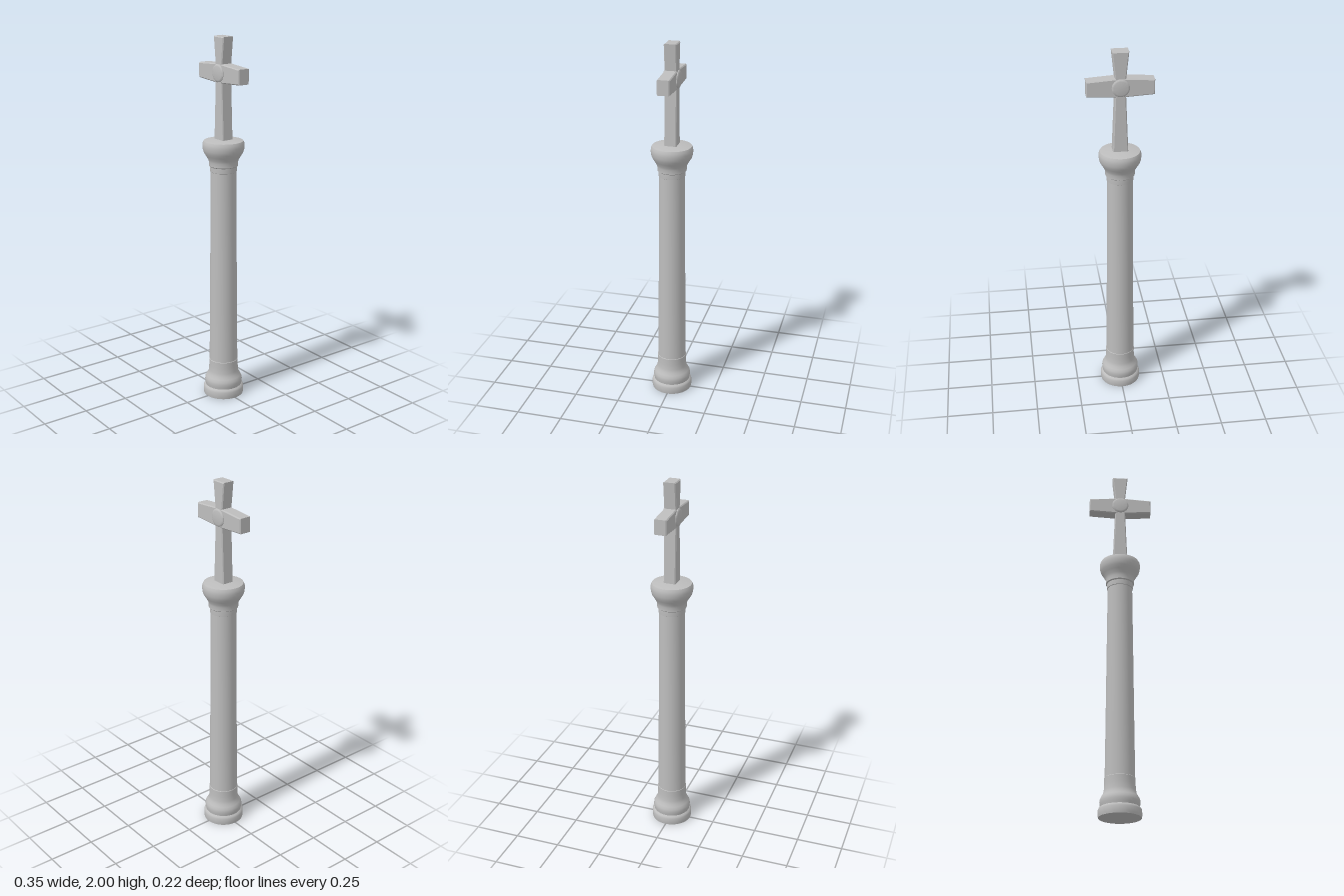
import * as THREE from 'three';
import { toCreasedNormals } from 'three/addons/utils/BufferGeometryUtils.js';

const stone = new THREE.MeshStandardMaterial({ color: 0xbdbdbd });
stone.name = 'grey stone';

function addMesh(parent, name, geometry) {
  const mesh = new THREE.Mesh(geometry, stone);
  mesh.name = name;
  parent.add(mesh);
  return mesh;
}

// Turned part from [radius, height] pairs, keeping sharp edges sharp
function turned(profile) {
  const points = profile.map(([r, y]) => new THREE.Vector2(r, y));
  return toCreasedNormals(new THREE.LatheGeometry(points, 40), 0.6);
}

// Chamfered slab of half depth d, centred on z = 0
function slab(outline, d, bevel = 0.005) {
  const shape = new THREE.Shape(outline.map(([x, y]) => new THREE.Vector2(x, y)));
  const geometry = new THREE.ExtrudeGeometry(shape, {
    depth: 2 * (d - bevel), bevelEnabled: true, bevelThickness: bevel,
    bevelSize: bevel, bevelOffset: -bevel, bevelSegments: 1,
  });
  geometry.translate(0, 0, bevel - d);
  return geometry;
}

export function createModel() {
  const model = new THREE.Group();
  model.name = 'crossTopPillar';

  // Pillar: moulded base, tapering shaft and flared capital
  const pillar = new THREE.Group();
  pillar.name = 'pillar';
  model.add(pillar);
  addMesh(pillar, 'base', turned([
    [0, 0], [0.11, 0], [0.112, 0.01], [0.112, 0.038], [0.108, 0.048], [0.1, 0.054],
    [0.102, 0.065], [0.104, 0.08], [0.102, 0.094], [0.095, 0.108], [0.086, 0.122],
    [0.082, 0.14], [0.08, 0.17], [0.08, 0.205], [0.076, 0.21],
  ]));
  addMesh(pillar, 'shaft', turned([[0.078, 0.205], [0.075, 0.5], [0.072, 0.85], [0.068, 1.29]]));
  addMesh(pillar, 'capital', turned([
    [0.066, 1.285], [0.071, 1.288], [0.072, 1.305], [0.072, 1.315], [0.078, 1.32], [0.078, 1.342],
    [0.083, 1.356], [0.094, 1.375], [0.105, 1.392], [0.11, 1.408], [0.112, 1.425],
    [0.111, 1.442], [0.105, 1.454], [0.06, 1.462], [0, 1.463],
  ]));

  // Cross: waisted upright, crossbar thinning to its ends, round bosses
  const cross = new THREE.Group();
  cross.name = 'cross';
  model.add(cross);
  const upright = [[0.04, 1.455], [0.028, 1.76], [0.028, 1.86], [0.043, 2]];
  const mirrored = upright.map(([x, y]) => [-x, y]).reverse();
  addMesh(cross, 'upright', slab([...upright, ...mirrored], 0.033));
  addMesh(cross, 'crossbar', slab([
    [-0.174, 1.77], [0, 1.76], [0.174, 1.77], [0.174, 1.85], [0, 1.862], [-0.174, 1.85],
  ], 0.034));
  for (const side of [1, -1]) {
    const boss = addMesh(cross, side > 0 ? 'frontBoss' : 'backBoss', turned([
      [0.046, 0.03], [0.046, 0.037], [0.043, 0.04], [0.036, 0.042], [0, 0.042],
    ]));
    boss.position.y = 1.812;
    boss.rotation.x = side * Math.PI / 2;
  }
  return model;
}
